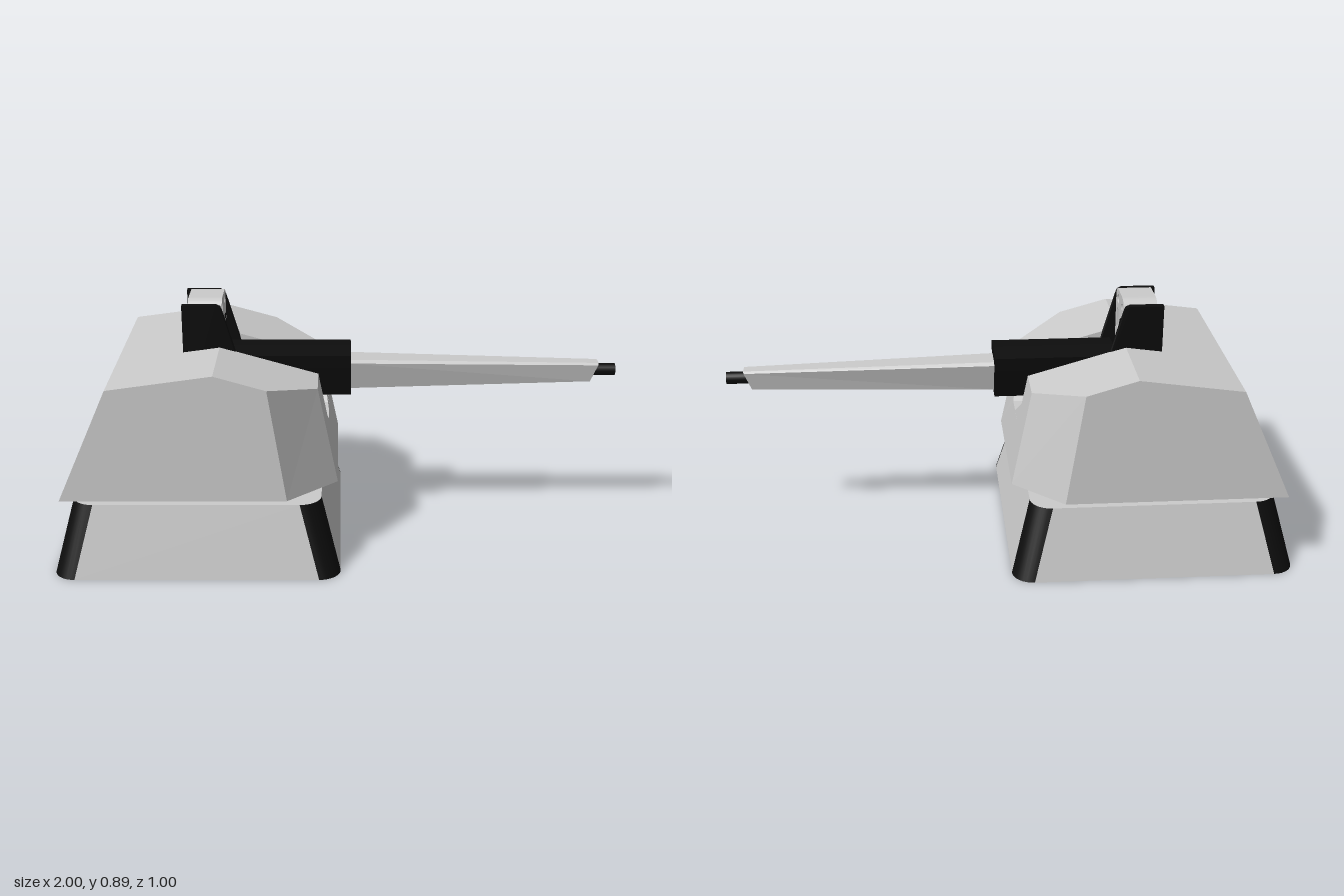
import * as THREE from 'three';

const GREY = new THREE.MeshStandardMaterial({ color: 0xcccccc });
const BLACK = new THREE.MeshStandardMaterial({ color: 0x0d0d0d });

function add(parent, name, geometry, material, x = 0, y = 0, z = 0) {
  const mesh = new THREE.Mesh(geometry, material);
  mesh.name = name;
  mesh.position.set(x, y, z);
  parent.add(mesh);
  return mesh;
}

// Flat-shaded geometry from convex polygons, wound counter-clockwise from outside
function polygons(faces) {
  const pos = [];
  for (const f of faces)
    for (let i = 1; i < f.length - 1; i++) pos.push(...f[0], ...f[i], ...f[i + 1]);
  const g = new THREE.BufferGeometry();
  g.setAttribute('position', new THREE.Float32BufferAttribute(pos, 3));
  g.computeVertexNormals();
  return g;
}

// Capped loft between two rings that run counter-clockwise seen from +x
function loft(back, front) {
  const faces = [front, [...back].reverse()];
  back.forEach((p, i) => {
    const j = (i + 1) % back.length;
    faces.push([p, back[j], front[j], front[i]]);
  });
  return polygons(faces);
}

// Symmetric ring from [z, y, x] points listed down the left half
function ring(half) {
  const left = half.map(([z, y, x]) => [x, y, z]);
  const right = left.filter(p => p[2] > 0).reverse().map(([x, y, z]) => [x, y, -z]);
  return [...left, ...right];
}

// Sloped square base with rounded black corner posts
function createBase() {
  const base = new THREE.Group();
  base.name = 'base';
  base.position.x = -0.5;
  const r = 0.075, height = 0.255, low = 0.5, high = 0.433, steps = 8;
  for (let k = 0; k < 4; k++) {
    const side = new THREE.Group();
    side.name = 'baseSide';
    side.rotation.y = k * Math.PI / 2;
    base.add(side);
    const a = low - r, b = high - r;
    add(side, 'basePanel', polygons([[[-a, 0, low], [a, 0, low], [b, height, high], [-b, height, high]]]), GREY);
    const pos = [], index = [];
    for (let i = 0; i <= steps; i++) {
      const t = i / steps * Math.PI / 2, s = r * Math.sin(t), c = r * Math.cos(t);
      pos.push(a + s, 0, a + c, b + s, height, b + c);
      if (i < steps) index.push(2 * i, 2 * i + 2, 2 * i + 1, 2 * i + 1, 2 * i + 2, 2 * i + 3);
    }
    const corner = new THREE.BufferGeometry();
    corner.setAttribute('position', new THREE.Float32BufferAttribute(pos, 3));
    corner.setIndex(index);
    corner.computeVertexNormals();
    add(side, 'baseCorner', corner, BLACK);
  }
  const cap = h => {
    const s = new THREE.Shape(), q = h - r;
    s.absarc(q, q, r, 0, Math.PI / 2);
    s.absarc(-q, q, r, Math.PI / 2, Math.PI);
    s.absarc(-q, -q, r, Math.PI, Math.PI * 1.5);
    s.absarc(q, -q, r, Math.PI * 1.5, Math.PI * 2);
    return new THREE.ShapeGeometry(s, steps);
  };
  add(base, 'baseTop', cap(high), GREY, 0, height, 0).rotation.x = -Math.PI / 2;
  add(base, 'baseBottom', cap(low), GREY).rotation.x = Math.PI / 2;
  add(base, 'turningRing', new THREE.CylinderGeometry(0.33, 0.33, 0.03, 40), GREY, 0, 0.265, 0);
  return base;
}

// Faceted turret shell with an open gun slot; one half is listed and mirrored
function createShell() {
  const A = [-0.97, 0.275, 0.445], B = [-0.185, 0.275, 0.445], C = [-0.25, 0.669, 0.421];
  const T = [-0.43, 0.72, 0.418], D = [-0.795, 0.67, 0.421];
  const E = [-0.01, 0.275, 0.275], F = [-0.08, 0.62, 0.262];
  const mid = ([x, y]) => [x, y, 0];
  const S = [-0.43, 0.72, 0.105], f0 = [-0.08, 0.62, 0.105];
  const f1 = [-0.048, 0.46, 0.105], f2 = [-0.043, 0.44, 0.085];
  const b1 = [-0.43, 0.46, 0.105], b2 = [-0.43, 0.44, 0.085];
  const half = [
    [A, B, C, T, D], [B, E, F, C],              // side, front chamfer
    [E, mid(E), mid(f2), f2, f1, f0, F],        // front
    [F, f0, S, T, C], [T, S, mid(S), mid(D), D], // roof
    [A, D, mid(D), mid(A)], [A, mid(A), mid(E), E, B], // rear, underside
    [f0, f1, b1, S], [f1, f2, b2, b1], [f2, mid(f2), mid(b2), b2], // slot
    [S, b1, b2, mid(b2), mid(S)],
  ];
  const other = half.map(f => f.map(([x, y, z]) => [x, y, -z]).reverse());
  return polygons([...half, ...other]);
}

// Gun housing, tapered barrel, muzzle and pivot
function createGun() {
  const gun = new THREE.Group();
  gun.name = 'gun';
  const housing = x => ring([[0, 0.695, x], [0.095, 0.683, x], [0.088, 0.635, x], [0.062, 0.525, x]]);
  add(gun, 'gunHousing', loft(housing(-0.4), housing(0.037)), BLACK);
  add(gun, 'barrel', loft(
    ring([[0.045, 0.652, 0.03], [0.058, 0.642, 0.03], [0.036, 0.54, 0.03]]),
    ring([[0.022, 0.632, 0.937], [0.029, 0.625, 0.935], [0.019, 0.56, 0.91]])), GREY);
  add(gun, 'muzzle', new THREE.CylinderGeometry(0.022, 0.022, 0.1, 20), BLACK, 0.95, 0.6, 0).rotation.z = Math.PI / 2;
  add(gun, 'pivot', new THREE.CylinderGeometry(0.025, 0.025, 0.208, 20), BLACK, -0.28, 0.612, 0).rotation.x = Math.PI / 2;
  return gun;
}

// Sight block with recessed lenses between two tapered side plates
function createSight() {
  const sight = new THREE.Group();
  sight.name = 'sight';
  // Shape x runs along -z once turned to face +x
  const outline = () => {
    const s = new THREE.Shape();
    s.moveTo(-0.09, 0.6);
    s.lineTo(0.09, 0.6);
    s.lineTo(0.09, 0.845);
    s.quadraticCurveTo(0.087, 0.888, 0.045, 0.888);
    s.lineTo(-0.045, 0.888);
    s.quadraticCurveTo(-0.087, 0.888, -0.09, 0.845);
    return s;
  };
  const extrude = (shape, depth) => new THREE.ExtrudeGeometry(shape, { depth, bevelEnabled: false, curveSegments: 12 });
  add(sight, 'sightBlock', extrude(outline(), 0.11), GREY, -0.54, 0, 0).rotation.y = Math.PI / 2;
  const face = outline();
  for (const [x, y, r] of [[-0.042, 0.852, 0.017], [0.05, 0.852, 0.013], [0.037, 0.774, 0.029]])
    face.holes.push(new THREE.Path().absarc(x, y, r, 0, Math.PI * 2, true));
  const slot = new THREE.Path();
  slot.absarc(-0.042, 0.803, 0.015, 0, Math.PI);
  slot.absarc(-0.042, 0.749, 0.015, Math.PI, Math.PI * 2);
  face.holes.push(slot);
  add(sight, 'sightFace', extrude(face, 0.01), GREY, -0.43, 0, 0).rotation.y = Math.PI / 2;
  add(sight, 'lensRim', new THREE.TorusGeometry(0.028, 0.002, 6, 32), BLACK, -0.42, 0.774, -0.037).rotation.y = Math.PI / 2;

  const profile = [[-0.56, 0.46], [-0.35, 0.46], [-0.35, 0.6], [-0.375, 0.71], [-0.418, 0.85],
    [-0.425, 0.868], [-0.44, 0.875], [-0.56, 0.875]].map(p => new THREE.Vector2(...p));
  for (const sign of [1, -1]) {
    const plate = extrude(new THREE.Shape(profile), 1).toNonIndexed();
    const p = plate.attributes.position;
    for (let i = 0; i < p.count; i++) {
      const t = THREE.MathUtils.clamp((p.getY(i) - 0.71) / 0.165, 0, 1);
      p.setZ(i, sign * 0.102 + (p.getZ(i) - 0.5) * (0.005 + 0.02 * t));
    }
    plate.computeVertexNormals();
    add(sight, sign > 0 ? 'leftSightPlate' : 'rightSightPlate', plate, BLACK);
  }
  return sight;
}

export function createModel() {
  const model = new THREE.Group();
  model.name = 'gunTurret';
  model.add(createBase());
  add(model, 'turretShell', createShell(), GREY);
  model.add(createGun(), createSight());
  return model;
}
